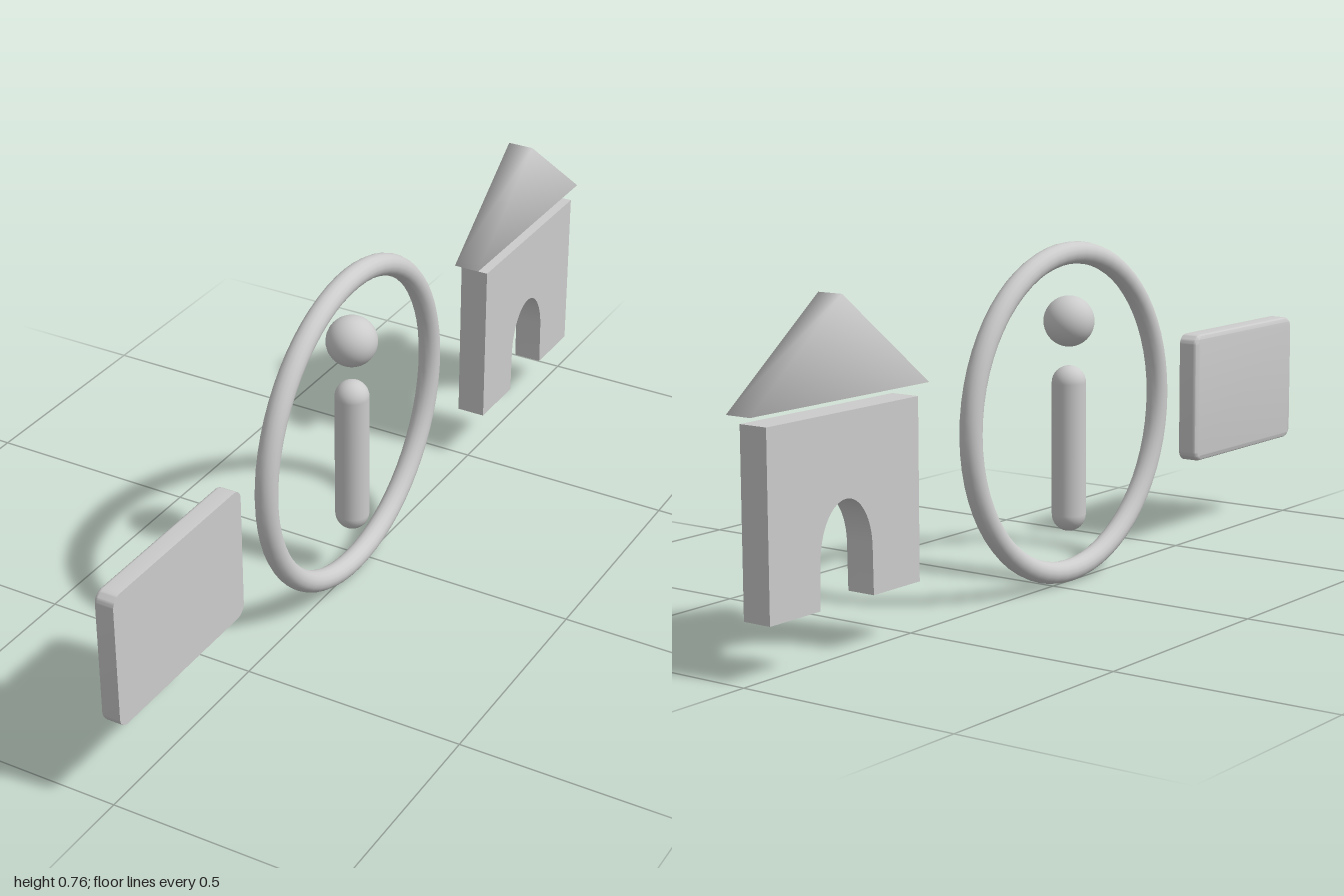
import * as THREE from 'three';
import { mergeVertices, toCreasedNormals } from 'three/addons/utils/BufferGeometryUtils.js';

const grey = new THREE.MeshStandardMaterial({ color: 0xcccccc });
grey.name = 'light grey';

function add(group, name, geometry, x = 0, y = 0, z = 0) {
  const mesh = new THREE.Mesh(geometry, grey);
  mesh.name = name;
  mesh.position.set(x, y, z);
  group.add(mesh);
}

// Extrudes a side profile (drawn in -z, y) along x, starting at x0
function slab(shape, x0, depth, options = {}) {
  const g = new THREE.ExtrudeGeometry(shape, { depth, bevelEnabled: false, curveSegments: 16, ...options });
  return g.translate(0, 0, x0).rotateY(Math.PI / 2);
}

function roundedRect(w, h, r) {
  const s = new THREE.Shape();
  const x = w / 2, y = h / 2;
  s.absarc(x - r, -y + r, r, -Math.PI / 2, 0);
  s.absarc(x - r, y - r, r, 0, Math.PI / 2);
  s.absarc(-x + r, y - r, r, Math.PI / 2, Math.PI);
  s.absarc(-x + r, -y + r, r, Math.PI, Math.PI * 1.5);
  return s;
}

export function createModel() {
  const model = new THREE.Group();

  // Card: rounded on the -x face, flat on the +x face
  const bevel = 0.01, flatX = 0.028;
  const card = slab(roundedRect(0.445 - 2 * bevel, 0.302 - 2 * bevel, 0.015), -0.018 + bevel, 0.036, {
    bevelEnabled: true, bevelSize: bevel, bevelThickness: bevel, bevelSegments: 4, curveSegments: 6,
  });
  const p = card.attributes.position;
  for (let i = 0; i < p.count; i++) p.setX(i, Math.min(p.getX(i), flatX));
  add(model, 'card', toCreasedNormals(card, 0.7), 0, 0.345, 0.777);

  // Information sign: ring, dot and bar
  const sign = new THREE.Group();
  sign.name = 'informationSign';
  sign.position.z = 0.06;
  add(sign, 'ring', new THREE.TorusGeometry(0.354, 0.0245, 16, 64).rotateY(Math.PI / 2), 0, 0.3785, 0);
  add(sign, 'dot', new THREE.SphereGeometry(0.056, 32, 20), 0, 0.583, 0);
  add(sign, 'bar', new THREE.CapsuleGeometry(0.038, 0.294, 8, 24), 0, 0.3, 0);
  model.add(sign);

  // House: walls with an arched doorway below a separate gable
  const house = new THREE.Group();
  house.name = 'house';
  house.position.z = -0.735;
  const walls = new THREE.Shape();
  walls.moveTo(0.08, 0.115);
  walls.lineTo(0.225, 0.115);
  walls.lineTo(0.225, 0.495);
  walls.lineTo(-0.225, 0.495);
  walls.lineTo(-0.225, 0.115);
  walls.lineTo(-0.08, 0.115);
  walls.lineTo(-0.078, 0.21);
  walls.absellipse(0, 0.21, 0.078, 0.113, Math.PI, 0, true);
  add(house, 'walls', toCreasedNormals(slab(walls, -0.033, 0.066), 0.6));

  const gable = new THREE.Shape();
  gable.moveTo(-0.265, 0.518);
  gable.lineTo(0.265, 0.518);
  gable.lineTo(0, 0.722);
  // Welded corners give the gable its soft shading
  let roof = slab(gable, -0.03, 0.06);
  roof.deleteAttribute('normal');
  roof.deleteAttribute('uv');
  roof = mergeVertices(roof);
  roof.computeVertexNormals();
  add(house, 'roof', roof);
  model.add(house);

  return model;
}
